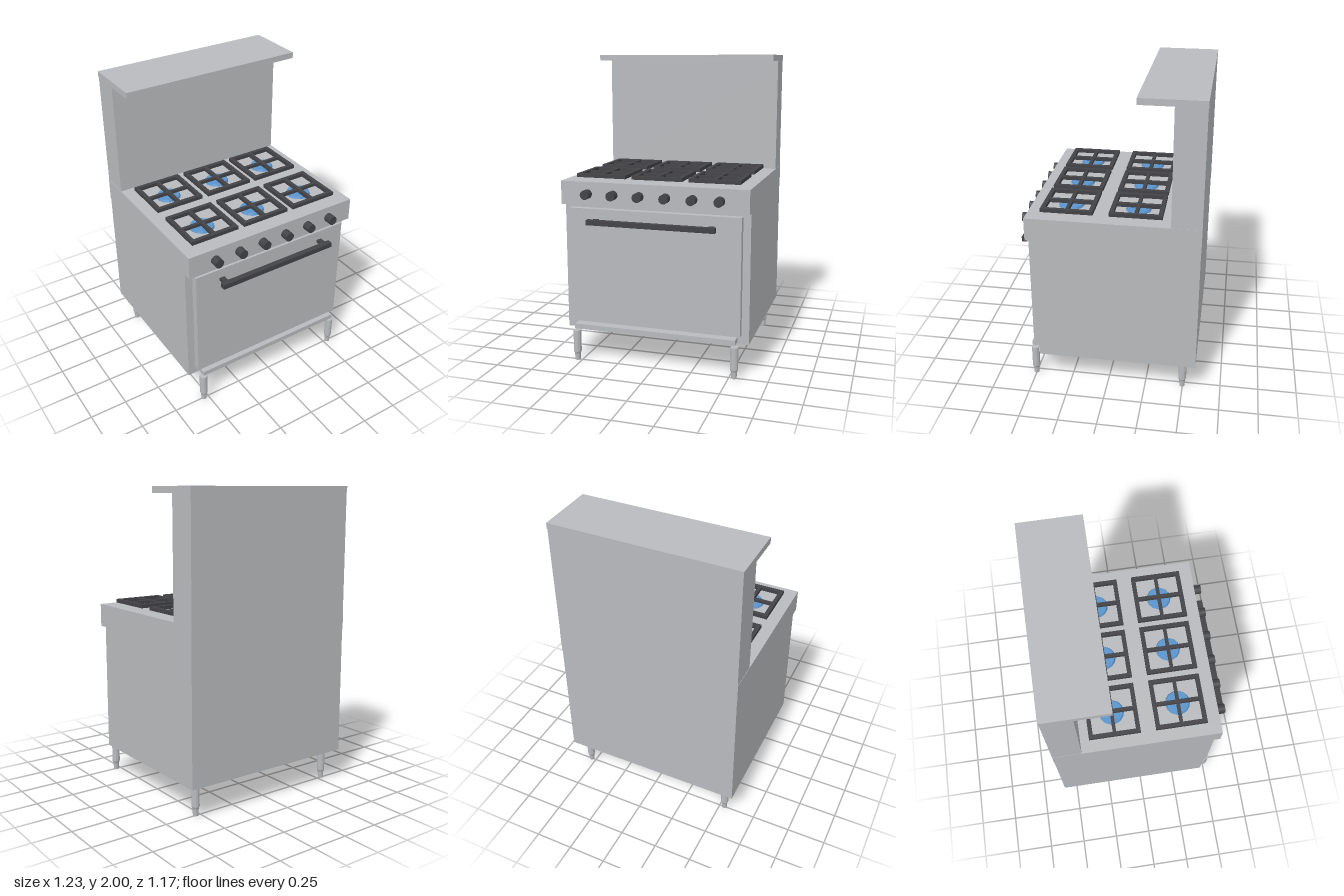
import * as THREE from 'three';

export function createModel() {
  const steel = new THREE.MeshStandardMaterial({ name: 'steel', color: 0xb8babd });
  const iron = new THREE.MeshStandardMaterial({ name: 'black iron', color: 0x434347 });
  const blue = new THREE.MeshStandardMaterial({ name: 'burner blue', color: 0x5a94cc });
  const range = new THREE.Group();
  range.name = 'range';

  const add = (name, geometry, material, x = 0, y = 0, z = 0, parent = range) => {
    const mesh = new THREE.Mesh(geometry, material);
    mesh.name = name;
    mesh.position.set(x, y, z);
    parent.add(mesh);
    return mesh;
  };
  // Box given by its extents along each axis
  const box = (name, material, [x0, x1], [y0, y1], [z0, z1], parent) =>
    add(name, new THREE.BoxGeometry(x1 - x0, y1 - y0, z1 - z0), material,
      (x0 + x1) / 2, (y0 + y1) / 2, (z0 + z1) / 2, parent);

  // Cabinet, cooktop slab, backsplash and shelf
  const wide = [-0.617, 0.617];
  box('cabinet', steel, [-0.615, 0.615], [0.21, 1.055], [-0.583, 0.45], range);
  box('cooktop', steel, wide, [1.055, 1.207], [-0.585, 0.51], range);
  box('backsplash', steel, [-0.615, 0.615], [1.207, 1.96], [-0.585, -0.397], range);
  box('shelf', steel, wide, [1.96, 2], [-0.587, -0.183], range);

  // Oven door and kick strip
  box('ovenDoor', steel, [-0.567, 0.567], [0.272, 1.032], [0.455, 0.5], range);
  box('doorBacking', steel, [-0.555, 0.555], [0.285, 1.02], [0.45, 0.455], range);
  box('kickStrip', steel, [-0.54, 0.54], [0.222, 0.255], [0.45, 0.52], range);

  // Door handle on two posts
  const handle = new THREE.Group();
  handle.name = 'doorHandle';
  range.add(handle);
  box('handleBar', iron, [-0.42, 0.42], [0.943, 0.975], [0.55, 0.587], handle);
  for (const x of [-0.38, 0.38])
    box('handlePost', iron, [x - 0.018, x + 0.018], [0.95, 0.968], [0.5, 0.55], handle);

  // Control knobs
  const knobGeometry = new THREE.CylinderGeometry(0.03, 0.03, 0.055, 16).rotateX(Math.PI / 2);
  for (let i = 0; i < 6; i++)
    add('knob', knobGeometry, iron, -0.434 + i * 0.1737, 1.13, 0.5375);

  // Burners under square grates with a cross
  const burnerGeometry = new THREE.CylinderGeometry(0.074, 0.082, 0.016, 14).toNonIndexed();
  burnerGeometry.computeVertexNormals();
  const h = 0.166, w = 0.027, y = [1.221, 1.245];
  for (const z of [0.258, -0.173]) {
    for (const x of [-0.376, 0, 0.374]) {
      add('burner', burnerGeometry, blue, x, 1.214, z);
      const grate = new THREE.Group();
      grate.name = 'grate';
      grate.position.set(x, 0, z);
      range.add(grate);
      for (const s of [-1, 1]) {
        const edge = [s * (h - w / 2) - w / 2, s * (h - w / 2) + w / 2];
        box('grateRail', iron, [-h, h], y, edge, grate);
        box('grateSide', iron, edge, y, [-h + w, h - w], grate);
      }
      box('grateCrossX', iron, [-h + w, h - w], [1.223, 1.243], [-0.011, 0.011], grate);
      box('grateCrossZ', iron, [-0.012, 0.012], y, [-h + w, h - w], grate);
    }
  }

  // Legs with a tapered adjustable foot
  const legProfile = [[0, 0], [0.017, 0], [0.02, 0.045], [0.026, 0.06], [0.026, 0.207], [0, 0.207]]
    .map(([r, py]) => new THREE.Vector2(r, py));
  const legGeometry = new THREE.LatheGeometry(legProfile, 12).toNonIndexed();
  legGeometry.computeVertexNormals();
  for (const x of [-0.533, 0.533])
    for (const z of [-0.497, 0.502]) add('leg', legGeometry, steel, x, 0, z);

  return range;
}
